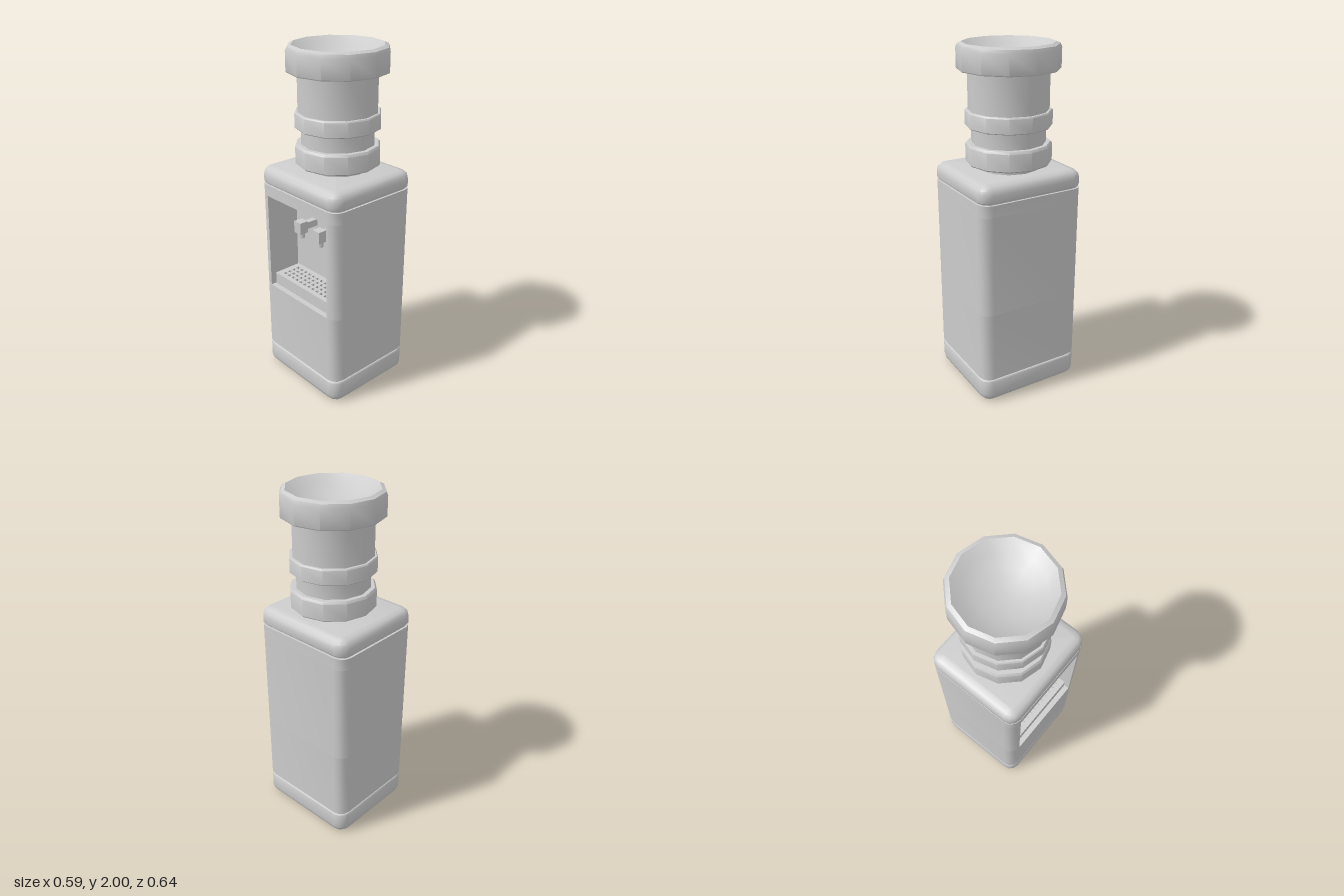
import * as THREE from 'three';
import { toCreasedNormals } from 'three/addons/utils/BufferGeometryUtils.js';

const HX = 0.293, HZ = 0.32, RADIUS = 0.065, CX = -0.0045;
const NICHE = { bottom: 0.57, top: 1.15, back: -0.09, half: 0.25 };

const grey = new THREE.MeshStandardMaterial({ color: 0xcccccc });
grey.name = 'light grey';

function add(parent, name, geometry, x = 0, y = 0, z = 0) {
  const mesh = new THREE.Mesh(geometry, grey);
  mesh.name = name;
  mesh.position.set(x, y, z);
  parent.add(mesh);
  return mesh;
}

// Rounded rectangle footprint, optionally notched on its -x side
function footprint(inset = 0, notched = false) {
  const r = Math.max(RADIUS - inset, 0.012);
  const points = [];
  [[1, 1], [-1, 1], [-1, -1], [1, -1]].forEach(([sx, sy], corner) => {
    for (let i = 0; i <= 3; i++) {
      const a = (corner + i / 3) * Math.PI / 2;
      points.push(new THREE.Vector2(
        CX + sx * (HX - inset - r) + r * Math.cos(a),
        sy * (HZ - inset - r) + r * Math.sin(a)));
    }
    if (notched && corner === 1) {
      const edge = CX - HX;
      for (const [x, y] of [[edge, 1], [NICHE.back, 1], [NICHE.back, -1], [edge, -1]])
        points.push(new THREE.Vector2(x, y * NICHE.half));
    }
  });
  return points;
}

// Upright prism between two heights
function prism(shape, y0, y1) {
  const g = new THREE.ExtrudeGeometry(shape, { depth: y1 - y0, bevelEnabled: false });
  g.rotateX(-Math.PI / 2).translate(0, y0, 0);
  return toCreasedNormals(g, 0.7);
}

// Closed skin through footprint sections given as [height, inset], bottom to top
function loft(sections) {
  const positions = [], index = [], n = 16;
  for (const [y, inset] of sections)
    for (const p of footprint(inset)) positions.push(p.x, y, -p.y);
  const last = (sections.length - 1) * n;
  for (let s = 0; s < last; s += n)
    for (let i = 0; i < n; i++) {
      const j = (i + 1) % n;
      index.push(s + i, s + j, s + n + j, s + i, s + n + j, s + n + i);
    }
  for (let i = 1; i < n - 1; i++) {
    index.push(0, i + 1, i);
    index.push(last, last + i, last + i + 1);
  }
  const g = new THREE.BufferGeometry();
  g.setAttribute('position', new THREE.Float32BufferAttribute(positions, 3));
  g.setIndex(index);
  return toCreasedNormals(g, 0.7);
}

function createCabinet() {
  const cabinet = new THREE.Group();
  cabinet.name = 'cabinet';
  add(cabinet, 'base', loft([
    [0, 0.045], [0.006, 0.022], [0.022, 0.006], [0.045, 0], [0.136, 0], [0.142, 0.005]]));
  add(cabinet, 'lowerSeam', loft([[0.135, 0.012], [0.16, 0.012]]));
  add(cabinet, 'upperSeam', loft([[1.21, 0.012], [1.235, 0.012]]));
  add(cabinet, 'lid', loft([
    [1.225, 0.005], [1.231, 0], [1.27, 0], [1.295, 0.006], [1.312, 0.024], [1.32, 0.055]]));

  // Body in three bands, the middle one open towards -x
  const solid = new THREE.Shape(footprint());
  const open = new THREE.Shape(footprint(0, true));
  add(cabinet, 'lowerBody', prism(solid, 0.153, NICHE.bottom));
  add(cabinet, 'nicheWalls', prism(open, NICHE.bottom, NICHE.top));
  add(cabinet, 'upperBody', prism(solid, NICHE.top, 1.217));
  return cabinet;
}

function createDripTray() {
  const tray = new THREE.Group();
  tray.name = 'dripTray';
  const x0 = -0.265, x1 = NICHE.back, h = 0.245;
  add(tray, 'trayBox', new THREE.BoxGeometry(x1 - x0, 0.055, 2 * h), (x0 + x1) / 2, 0.5975, 0);

  // Grille plate with rows of square drain holes
  const plate = new THREE.Shape([[x0, -h], [x1, -h], [x1, h], [x0, h]]
    .map(([x, y]) => new THREE.Vector2(x, y)));
  const a = 0.01;
  for (let i = 0; i < 4; i++)
    for (let j = 0; j < 12; j++) {
      const x = x0 + 0.04 + i * 0.032, y = (j - 5.5) * 0.036;
      plate.holes.push(new THREE.Path([[-a, -a], [-a, a], [a, a], [a, -a]]
        .map(([u, v]) => new THREE.Vector2(x + u, y + v))));
    }
  add(tray, 'grille', prism(plate, 0.625, 0.642));
  return tray;
}

function createTap(z) {
  const tap = new THREE.Group();
  tap.name = 'tap';
  add(tap, 'tapStem', new THREE.BoxGeometry(0.09, 0.04, 0.035), -0.13, 0.985, 0);
  add(tap, 'tapHead', new THREE.BoxGeometry(0.055, 0.07, 0.055), -0.197, 0.985, 0);
  add(tap, 'tapSpout', new THREE.CylinderGeometry(0.016, 0.016, 0.04, 8), -0.19, 0.935, 0);
  tap.position.z = z;
  return tap;
}

// Twelve-sided ribbed bottle with a dished top
function createBottle() {
  const profile = [
    [0.172, 1.3], [0.172, 1.35],
    [0.232, 1.35], [0.24, 1.357], [0.24, 1.452], [0.23, 1.465],
    [0.206, 1.465], [0.206, 1.555],
    [0.234, 1.555], [0.24, 1.56], [0.24, 1.638], [0.234, 1.645],
    [0.222, 1.645], [0.222, 1.86],
    [0.276, 1.86], [0.28, 1.865], [0.28, 1.97], [0.272, 1.99], [0.25, 2],
    [0.2, 1.966], [0.14, 1.937], [0.07, 1.918], [0, 1.912],
  ].map(([r, y]) => new THREE.Vector2(r, y));
  return toCreasedNormals(new THREE.LatheGeometry(profile, 12), 0.75);
}

export function createModel() {
  const model = new THREE.Group();
  model.name = 'waterDispenser';
  model.add(createCabinet(), createDripTray());
  for (const side of [-1, 1]) model.add(createTap(side * 0.08));
  add(model, 'bottle', createBottle(), 0.015);
  return model;
}
